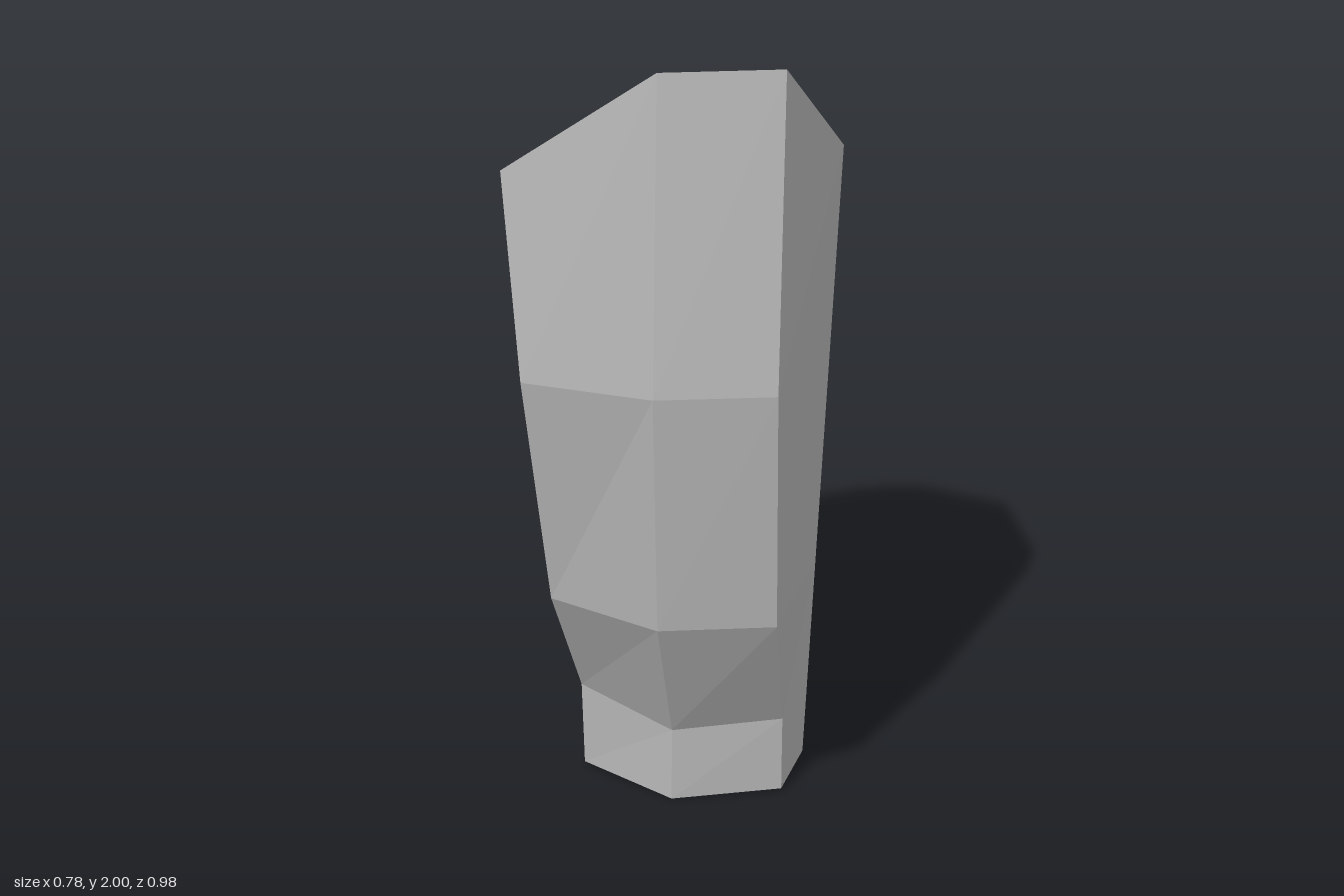
import * as THREE from 'three';

const V = (x, y, z) => new THREE.Vector3(x, y, z);

// A straight side edge, sampled at the five levels from bottom to top.
function straight(bottom, top) {
  return [0.02, 0.23, 0.6, 1.24, 2].map((y, i) => {
    if (i === 4) return top;
    const t = Math.max(0, (y - bottom.y) / (top.y - bottom.y));
    return bottom.clone().lerp(top, t);
  });
}

// Flat-shaded mesh from a list of corner points, three per triangle.
function facetMesh(name, corners, material) {
  const geometry = new THREE.BufferGeometry().setFromPoints(corners);
  geometry.computeVertexNormals();
  const mesh = new THREE.Mesh(geometry, material);
  mesh.name = name;
  return mesh;
}

export function createModel() {
  const grey = new THREE.MeshStandardMaterial({ color: 0xb4b4b4, flatShading: true });
  grey.name = 'stone grey';

  // Vertical edges, anticlockwise from the front centre; the front three are kinked.
  const edges = [
    [V(0, 0, 0.25), V(0, 0.2, 0.24), V(-0.01, 0.59, 0.43), V(-0.01, 1.23, 0.49), V(-0.01, 1.99, 0.4)],
    [V(0.28, 0.01, 0.18), V(0.28, 0.22, 0.18), V(0.28, 0.6, 0.39), V(0.28, 1.24, 0.455), V(0.28, 2, 0.37)],
    straight(V(0.32, 0.01, 0), V(0.39, 1.72, 0.02)),
    straight(V(0.26, 0.02, -0.23), V(0.32, 1.65, -0.37)),
    straight(V(0, 0.03, -0.33), V(0.04, 1.63, -0.49)),
    straight(V(-0.1, 0.025, -0.29), V(-0.14, 1.63, -0.45)),
    straight(V(-0.21, 0.02, -0.25), V(-0.33, 1.52, -0.41)),
    straight(V(-0.25, 0.02, -0.04), V(-0.39, 1.51, -0.01)),
    [V(-0.25, 0.015, 0.12), V(-0.255, 0.25, 0.12), V(-0.295, 0.6, 0.31), V(-0.34, 1.22, 0.4), V(-0.39, 1.72, 0.32)],
  ];

  const sides = [], top = [], bottom = [];
  const notch = V(-0.12, 1.7, -0.01);
  const base = V(0.01, 0.015, -0.03);
  edges.forEach((a, i) => {
    const b = edges[(i + 1) % edges.length];
    for (let k = 0; k < 4; k++) {
      sides.push(a[k], b[k], b[k + 1], a[k], b[k + 1], a[k + 1]);
    }
    // Top facets meet at the inner notch, base facets at the middle.
    top.push(notch, a[4], b[4]);
    bottom.push(base, b[0], a[0]);
  });

  const group = new THREE.Group();
  group.name = 'facetedBlock';
  group.add(
    facetMesh('sideWalls', sides, grey),
    facetMesh('notchedTop', top, grey),
    facetMesh('base', bottom, grey),
  );
  return group;
}
